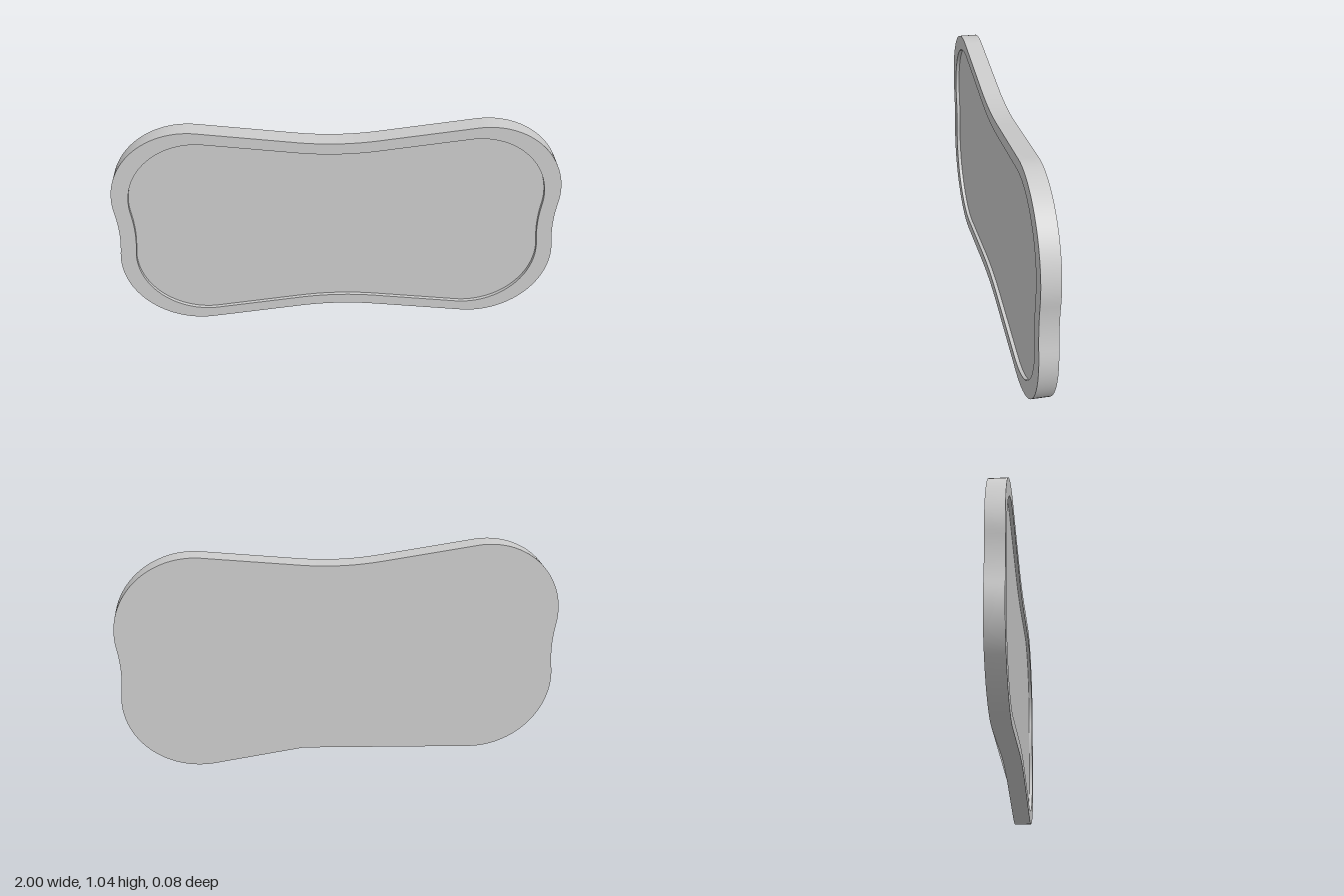
import * as THREE from 'three';

const HEIGHT = 1.045, MID = HEIGHT / 2;
const BACK = -0.04, FRONT = 0.04, FLOOR = 0.024;

// Closed counter-clockwise outline: four round corners joined by gently waisted sides.
// cx, cy: corner centre, r: corner radius, top / side: tilt of the edges, waist: half length of the waist curves
function outline(cx, cy, r, top = 0.127, side = 0.14, waistX = 0.18, waistY = 0.1) {
  const quarter = [];
  const dy = cy - MID;
  const bend = (p0, p1, p2, from, to) => {
    const curve = new THREE.QuadraticBezierCurve(p0, p1, p2);
    for (let i = 0; i <= 8; i++) quarter.push(curve.getPoint(from + (to - from) * i / 8));
  };
  const v = (x, y) => new THREE.Vector2(x, y);
  const a0 = -Math.atan(side), a1 = Math.PI / 2 + Math.atan(top);
  // side waist, upper half
  const sx = cx + r * Math.cos(a0) - side * (dy + r * Math.sin(a0));
  bend(v(sx + side * waistY, -waistY), v(sx, 0), v(sx + side * waistY, waistY), 0.5, 1);
  // corner
  for (let i = 0; i <= 32; i++) {
    const a = a0 + (a1 - a0) * i / 32;
    quarter.push(v(cx + r * Math.cos(a), dy + r * Math.sin(a)));
  }
  // top waist, right half
  const ty = dy + r * Math.sin(a1) - top * (cx + r * Math.cos(a1));
  bend(v(waistX, ty + top * waistX), v(0, ty), v(-waistX, ty + top * waistX), 0, 0.5);

  // mirror the quarter to the other three
  const mirror = (mx, my) => quarter.map(p => v(p.x * mx, p.y * my));
  return [
    ...mirror(1, 1).slice(0, -1),
    ...mirror(-1, 1).reverse().slice(0, -1),
    ...mirror(-1, -1).slice(0, -1),
    ...mirror(1, -1).reverse().slice(0, -1),
  ].map(p => v(p.x, p.y + MID));
}

// Smooth wall along a closed outline, facing outward (or inward when z0 > z1)
function wall(points, z0, z1) {
  const pos = [], index = [], n = points.length;
  points.forEach(p => pos.push(p.x, p.y, z0, p.x, p.y, z1));
  for (let i = 0; i < n; i++) {
    const a = 2 * i, b = 2 * ((i + 1) % n);
    index.push(a, b, b + 1, a, b + 1, a + 1);
  }
  const g = new THREE.BufferGeometry();
  g.setAttribute('position', new THREE.Float32BufferAttribute(pos, 3));
  g.setIndex(index);
  g.computeVertexNormals();
  return g;
}

export function createModel() {
  const group = new THREE.Group();
  group.name = 'plaque';
  const material = new THREE.MeshStandardMaterial({ color: 0xcccccc });
  const thin = new THREE.MeshStandardMaterial({ color: 0xcccccc, side: THREE.DoubleSide });
  const add = (name, geometry, mat = material) => {
    const mesh = new THREE.Mesh(geometry, mat);
    mesh.name = name;
    group.add(mesh);
    return mesh;
  };
  const flat = (points, z) => new THREE.ShapeGeometry(new THREE.Shape(points)).translate(0, 0, z);

  const outer = outline(0.645, 0.69, 0.355);
  const inner = outline(0.612, 0.673, 0.315);

  // raised rim
  const rim = new THREE.Shape(outer);
  rim.holes.push(new THREE.Path(inner));
  add('rimFace', new THREE.ShapeGeometry(rim).translate(0, 0, FRONT));
  add('outerWall', wall(outer, BACK, FRONT));

  // shallow recess
  add('recessWall', wall(inner, FRONT, FLOOR));
  add('recessFloor', flat(inner, FLOOR));

  // back panel, turned to face -z (the outline is symmetric)
  add('backPanel', flat(outer, 0).rotateY(Math.PI).translate(0, 0, BACK));

  // thin web spanning the left part of the lower waist on the back
  const web = outer.filter(p => p.y < 0.2 && p.x > -0.64 && p.x < 0.19);
  add('backWeb', flat(web, BACK), thin);

  return group;
}
